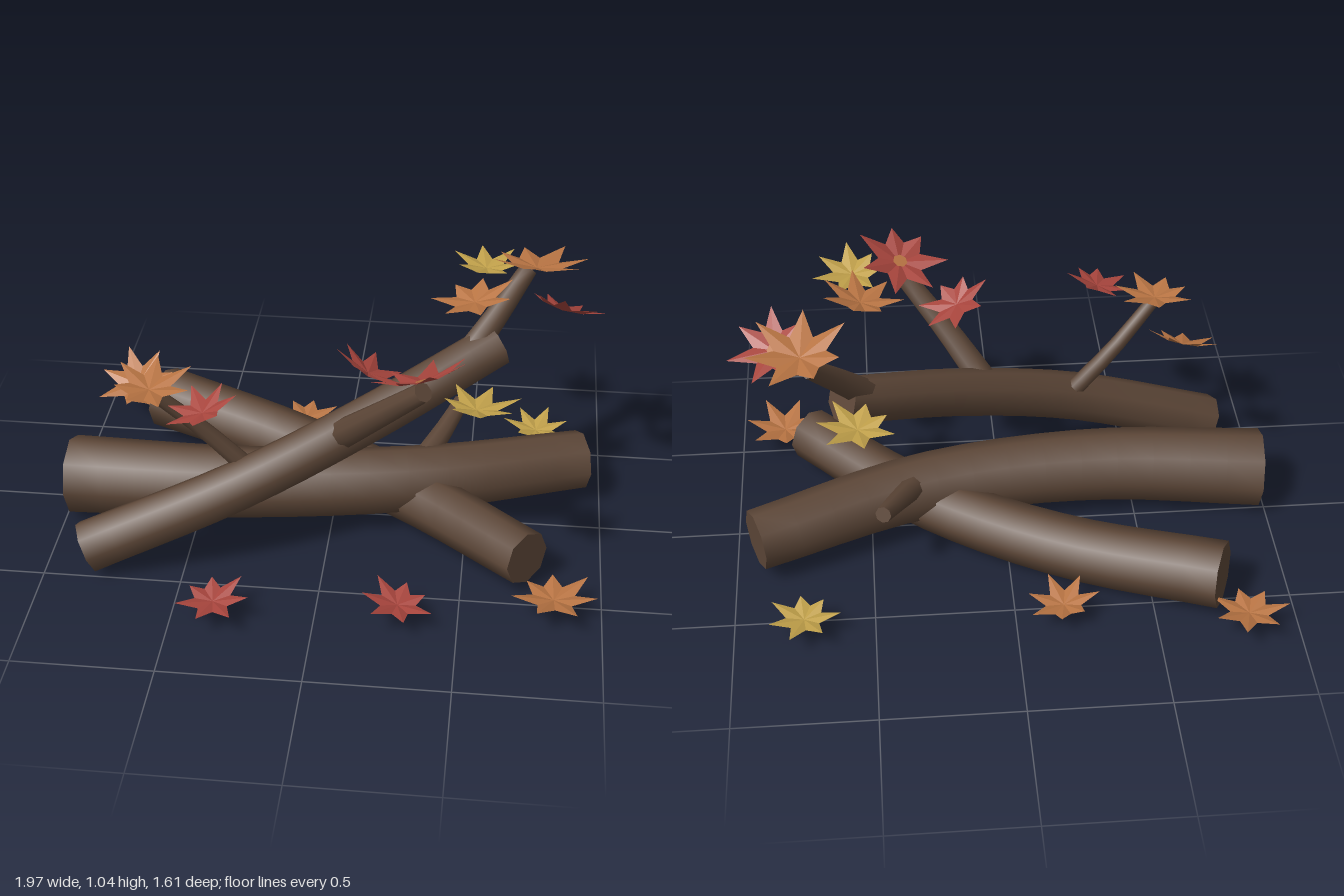
import * as THREE from 'three';
import { toCreasedNormals } from 'three/addons/utils/BufferGeometryUtils.js';

const mat = (name, color, side = THREE.FrontSide) => {
  const m = new THREE.MeshStandardMaterial({ color, side });
  m.name = name;
  return m;
};
const V = (p) => new THREE.Vector3(...p);

// Tapered, capped octagonal tube along a smooth path
function taperedLog(points, r0, r1, steps) {
  const sides = 8;
  const curve = new THREE.CatmullRomCurve3(points.map(V));
  const tube = new THREE.TubeGeometry(curve, steps, 1, sides, false);
  const pos = tube.attributes.position;
  const index = Array.from(tube.index.array);
  const verts = [];
  const row = sides + 1;
  for (let i = 0; i <= steps; i++) {
    const centre = curve.getPointAt(i / steps);
    const r = THREE.MathUtils.lerp(r0, r1, i / steps);
    for (let j = 0; j < row; j++) {
      const k = i * row + (j % sides);
      const v = new THREE.Vector3().fromBufferAttribute(pos, k).sub(centre).multiplyScalar(r).add(centre);
      verts.push(v.x, v.y, v.z);
    }
  }
  // End caps
  const start = verts.length / 3;
  verts.push(...curve.getPointAt(0).toArray(), ...curve.getPointAt(1).toArray());
  const last = steps * row;
  const at = (k) => new THREE.Vector3(verts[k * 3], verts[k * 3 + 1], verts[k * 3 + 2]);
  const addFacing = (a, b, c, dir) => {
    const n = at(b).sub(at(a)).cross(at(c).sub(at(a)));
    if (n.dot(dir) > 0) index.push(a, b, c);
    else index.push(a, c, b);
  };
  for (let j = 0; j < sides; j++) {
    addFacing(start, j, j + 1, curve.getTangentAt(0).negate());
    addFacing(start + 1, last + j, last + j + 1, curve.getTangentAt(1));
  }
  const geo = new THREE.BufferGeometry();
  geo.setAttribute('position', new THREE.Float32BufferAttribute(verts, 3));
  geo.setIndex(index);
  return toCreasedNormals(geo, 0.9);
}

// Seven-pointed cupped leaf of unit radius, main tip towards +z
function leafGeometry() {
  const tips = [1, 0.92, 0.95, 0.72, 0.72, 0.95, 0.92];
  const rim = [];
  tips.forEach((r, i) => {
    const a = (i / 7) * Math.PI * 2;
    const b = ((i + 0.5) / 7) * Math.PI * 2;
    rim.push([Math.sin(a) * r, 0.24 * r, Math.cos(a) * r]);
    rim.push([Math.sin(b) * 0.46, 0.06, Math.cos(b) * 0.46]);
  });
  const verts = [];
  rim.forEach((p, i) => verts.push(0, 0, 0, ...p, ...rim[(i + 1) % rim.length]));
  const geo = new THREE.BufferGeometry();
  geo.setAttribute('position', new THREE.Float32BufferAttribute(verts, 3));
  geo.computeVertexNormals();
  return geo;
}

export function createModel() {
  const model = new THREE.Group();
  const bark = mat('bark brown', 0x5c4637);
  const orange = mat('leaf orange', 0xb87443, THREE.DoubleSide);
  const red = mat('leaf red', 0xa8453d, THREE.DoubleSide);
  const yellow = mat('leaf yellow', 0xc0a04a, THREE.DoubleSide);

  // Logs and branches: name, path, start radius, end radius, steps
  const wood = [
    ['largeLog', [[-0.98, 0.152, 0.065], [-0.35, 0.18, 0.095], [0.3, 0.185, 0.01], [0.92, 0.163, -0.225]], 0.148, 0.112, 14],
    ['crossLog', [[-0.74, 0.15, -0.53], [-0.2, 0.122, -0.3], [0.3, 0.118, 0.02], [0.73, 0.148, 0.42]], 0.122, 0.1, 14],
    ['leaningLog', [[-0.845, 0.1, 0.452], [-0.3, 0.33, 0.335], [0.15, 0.52, 0.135], [0.58, 0.7, -0.125]], 0.098, 0.084, 14],
    ['leftBranch', [[-0.26, 0.36, 0.29], [-0.44, 0.555, 0.32], [-0.59, 0.72, 0.38]], 0.036, 0.026, 5],
    ['frontBranch', [[0.04, 0.48, 0.21], [0.19, 0.66, 0.35], [0.35, 0.84, 0.475]], 0.056, 0.036, 5],
    ['topBranch', [[0.49, 0.69, -0.08], [0.59, 0.82, -0.17], [0.68, 0.94, -0.265]], 0.052, 0.034, 5],
    ['backStub', [[0.34, 0.24, -0.06], [0.41, 0.29, -0.21], [0.455, 0.33, -0.32]], 0.045, 0.03, 4],
  ];
  for (const [name, path, r0, r1, steps] of wood) {
    const mesh = new THREE.Mesh(taperedLog(path, r0, r1, steps), bark);
    mesh.name = name;
    model.add(mesh);
  }

  // Leaves: colour, centre, radius, yaw, facing direction
  const leaves = [
    [orange, [-0.82, 0.07, -0.65], 0.15, 2.9, [0, 1, 0.05]],
    [orange, [-0.17, 0.07, -0.555], 0.14, 0.3, [0.1, 1, 0]],
    [orange, [0.83, 0.07, 0.55], 0.165, 0.5, [0, 1, -0.05]],
    [orange, [-0.6, 0.735, 0.385], 0.165, 2.2, [0, 1, 0.1]],
    [orange, [-0.68, 0.645, 0.2], 0.15, 3.4, [-0.25, 1, 0.45]],
    [orange, [0.5, 0.975, 0.075], 0.16, 0.2, [-0.2, 1, 0.05]],
    [orange, [0.71, 0.965, -0.23], 0.2, 0.8, [0.05, 1, -0.2]],
    [red, [-0.35, 0.075, 0.69], 0.14, 0.6, [-0.05, 1, 0.1]],
    [red, [0.29, 0.075, 0.64], 0.14, 5.6, [0.1, 1, 0.05]],
    [red, [-0.395, 0.725, 0.5], 0.14, 3.5, [-0.3, 1, 0.1]],
    [red, [0.15, 0.8, 0.3], 0.15, 3.1, [0.5, 1, -0.25]],
    [red, [0.35, 0.88, 0.48], 0.185, 3.0, [-0.3, 1, -0.4], true],
    [red, [0.805, 0.885, -0.065], 0.165, 1.7, [0.3, 1, -0.5], true],
    [yellow, [0.53, 0.81, 0.52], 0.155, 1.9, [0.05, 1, -0.15]],
    [yellow, [0.525, 0.83, -0.47], 0.15, 2.4, [0, 1, -0.05]],
    [yellow, [0.75, 0.07, -0.56], 0.14, 2.8, [0.05, 1, 0]],
  ];
  const leafGeo = leafGeometry();
  const up = new THREE.Vector3(0, 1, 0);
  for (const [material, centre, size, yaw, facing, spotted] of leaves) {
    const leaf = new THREE.Group();
    leaf.name = 'leaf';
    const blade = new THREE.Mesh(leafGeo, material);
    blade.name = 'leafBlade';
    leaf.add(blade);
    if (spotted) {
      // Pale heart in the middle of the leaf
      const heart = new THREE.Mesh(new THREE.CircleGeometry(0.15, 7).rotateX(-Math.PI / 2), orange);
      heart.name = 'leafHeart';
      heart.position.y = 0.04;
      leaf.add(heart);
    }
    leaf.scale.setScalar(size);
    leaf.position.set(...centre);
    leaf.quaternion.setFromUnitVectors(up, V(facing).normalize());
    leaf.rotateY(yaw);
    model.add(leaf);
  }
  return model;
}
